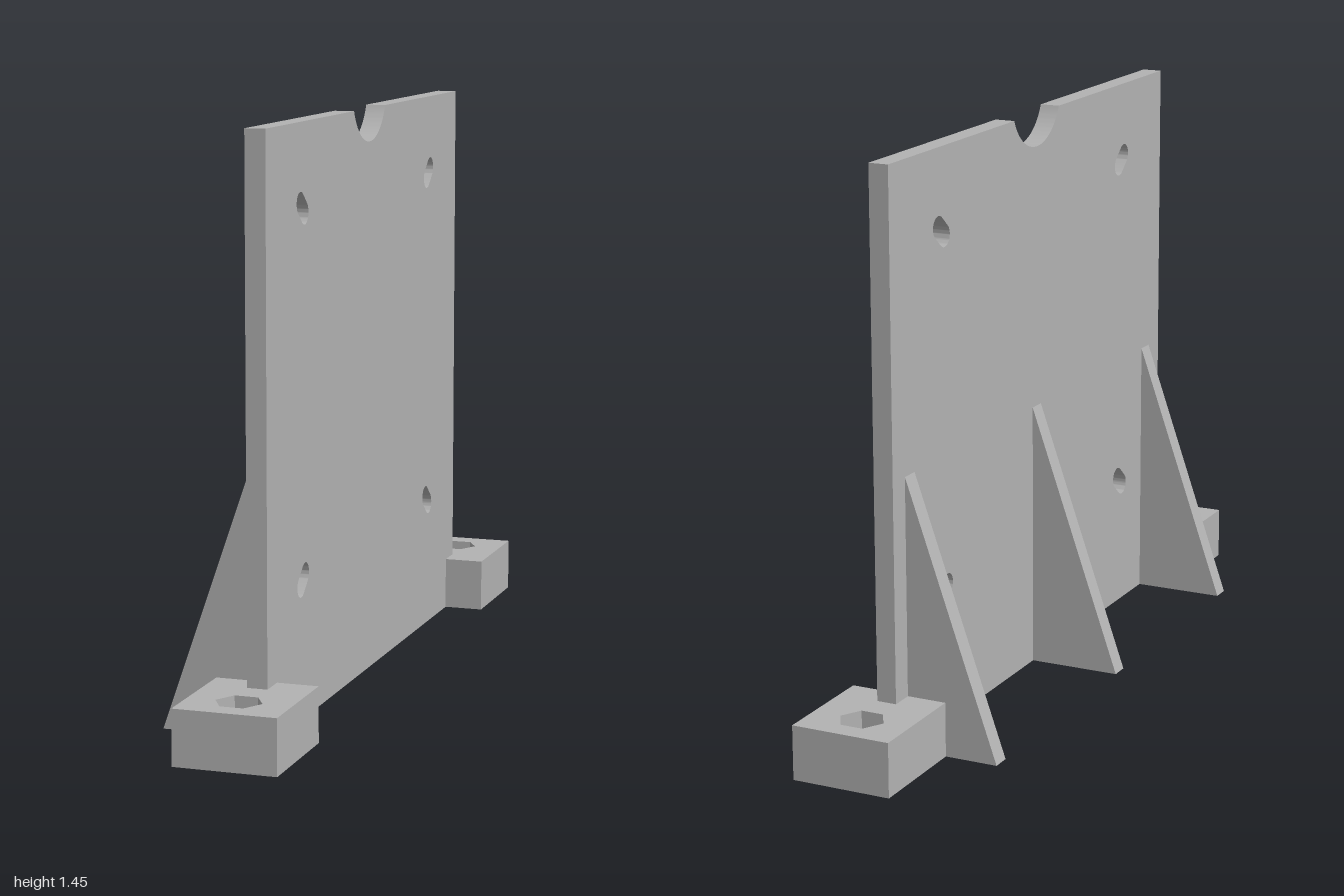
import * as THREE from 'three';
import { toCreasedNormals } from 'three/addons/utils/BufferGeometryUtils.js';

const grey = new THREE.MeshStandardMaterial({ color: 0xb2b2b2 });
grey.name = 'plain grey';

function extrude(shape, depth) {
  const g = new THREE.ExtrudeGeometry(shape, { depth, bevelEnabled: false, curveSegments: 24 });
  return toCreasedNormals(g, 0.6);
}

function addPart(group, name, geometry) {
  const mesh = new THREE.Mesh(geometry, grey);
  mesh.name = name;
  group.add(mesh);
}

const polygon = (points) => new THREE.Shape(points.map(([x, y]) => new THREE.Vector2(x, y)));

// Rounded slot of radius r, running at an angle
function slot(cx, cy, angle, r, halfLength) {
  const dx = Math.cos(angle) * halfLength, dy = Math.sin(angle) * halfLength;
  const path = new THREE.Path();
  path.absarc(cx + dx, cy + dy, r, angle - Math.PI / 2, angle + Math.PI / 2);
  path.absarc(cx - dx, cy - dy, r, angle + Math.PI / 2, angle + Math.PI * 1.5);
  path.closePath();
  return path;
}

// Upright plate, with a round notch on top, four slots and corners cut out for the feet
function plateGeometry() {
  const w = 0.775, top = 1.45, foot = 0.708, footTop = 0.138;
  const r = 0.139, cy = 1.505;
  const a = Math.asin((top - cy) / r);
  const s = new THREE.Shape();
  s.moveTo(-foot, 0);
  s.lineTo(foot, 0);
  s.lineTo(foot, footTop);
  s.lineTo(w, footTop);
  s.lineTo(w, top);
  s.absarc(0, cy, r, a, Math.PI - a, true);
  s.lineTo(-w, top);
  s.lineTo(-w, footTop);
  s.lineTo(-foot, footTop);
  s.closePath();
  for (const sx of [-1, 1]) {
    for (const sy of [-1, 1]) {
      s.holes.push(slot(sx * 0.518, 0.795 + sy * 0.45, sx * sy * 0.7, 0.028, 0.019));
    }
  }
  return extrude(s, 0.051).rotateY(Math.PI / 2).translate(0.041, 0, 0);
}

// One layer of a foot, pierced by a hole with the given number of sides
function footLayer(side, y0, y1, radius, sides) {
  const zIn = -side * 0.708, zOut = -side;
  const s = polygon([[-0.061, zIn], [0.196, zIn], [0.196, zOut], [-0.061, zOut]]);
  const hole = [];
  for (let i = 0; i < sides; i++) {
    const a = (i / sides) * Math.PI * 2;
    hole.push(new THREE.Vector2(0.066 + radius * Math.cos(a), -side * 0.897 + radius * Math.sin(a)));
  }
  s.holes.push(new THREE.Path(hole));
  return extrude(s, y1 - y0).rotateX(-Math.PI / 2).translate(0, y0, 0);
}

export function createModel() {
  const model = new THREE.Group();
  model.name = 'mountingBracket';

  addPart(model, 'uprightPlate', plateGeometry());

  // Feet: bolt hole below, hexagonal nut pocket above
  for (const [side, label] of [[1, 'front'], [-1, 'back']]) {
    const foot = new THREE.Group();
    foot.name = label + 'Foot';
    addPart(foot, 'boltHoleLayer', footLayer(side, 0, 0.075, 0.03, 32));
    addPart(foot, 'nutPocketLayer', footLayer(side, 0.075, 0.138, 0.058, 6));
    model.add(foot);
  }

  // Triangular ribs bracing the plate
  const rib = polygon([[-0.198, 0], [0.041, 0], [0.041, 0.69]]);
  for (const [z, label] of [[0.685, 'front'], [-0.003, 'middle'], [-0.691, 'back']]) {
    addPart(model, label + 'Rib', extrude(rib, 0.048).translate(0, 0, z - 0.024));
  }
  return model;
}
